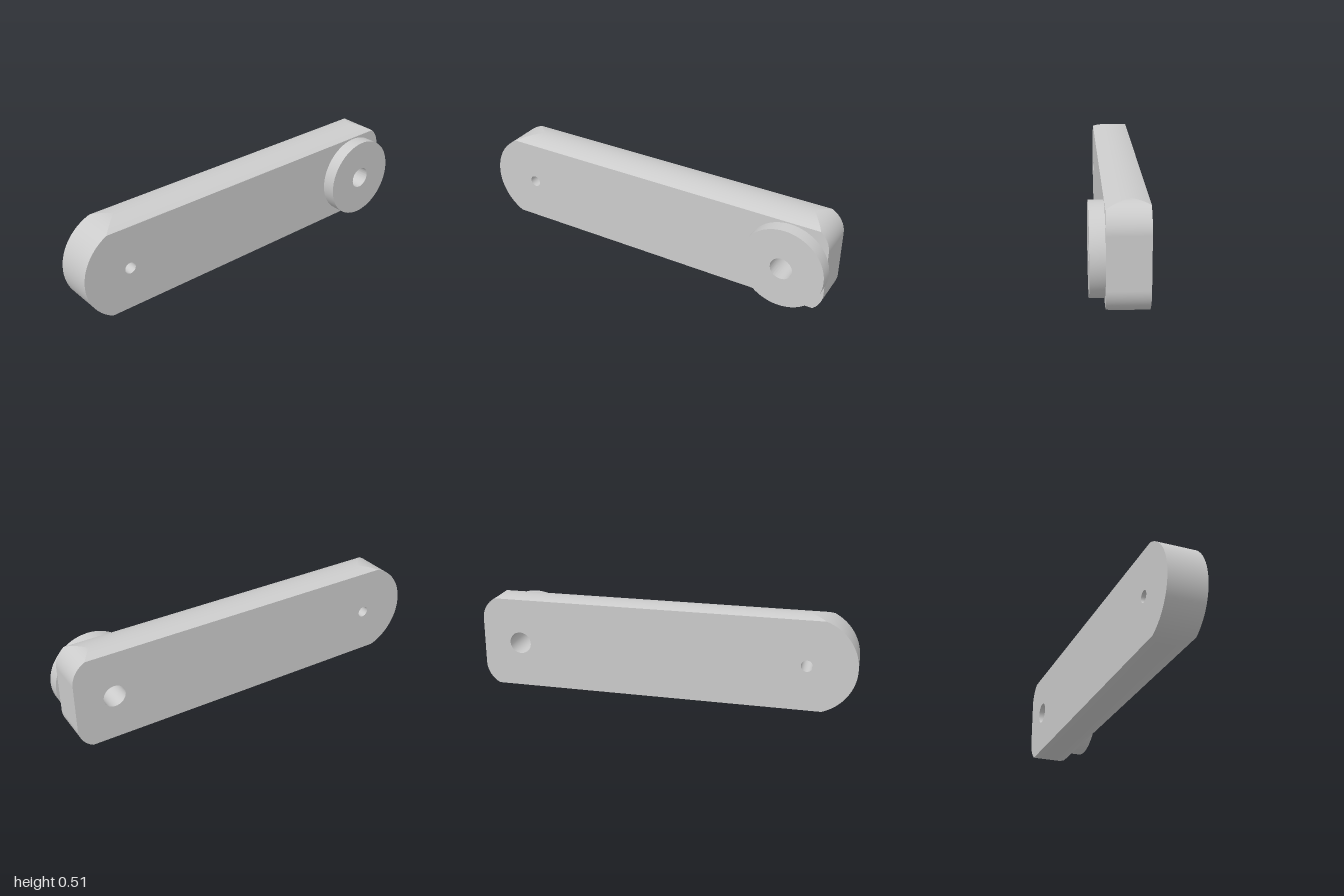
import * as THREE from 'three';
import { toCreasedNormals } from 'three/addons/utils/BufferGeometryUtils.js';
import { ParametricGeometry } from 'three/addons/geometries/ParametricGeometry.js';

const CY = 0.2545;                    // height of the long axis
const Z0 = -0.133, Z1 = 0.065, Z2 = 0.135; // back, front, boss face
const H = 0.254;                      // half height at the crown
const LEFT = -1 + H, RIGHT = 0.985;   // centre of round end, square end
const CORNER = 0.13;
const BOSS = { x: 0.781, r: 0.2185, hole: 0.058 };
const PIN = { x: -0.746, hole: 0.03 };
const SEG = 48;

// half height of the arm at depth z (crowned long edges)
const half = (z) => H - 0.248 + Math.sqrt(0.248 ** 2 - (z + 0.05) ** 2);
const endAngle = (z) => Math.asin(Math.min(1, half(z) / H));
const cornerAngle = (z) => Math.asin(Math.min(1, (half(z) - H + CORNER) / CORNER));

// outline sections, counterclockwise seen from the front: (u, z) -> [x, y]
const roundEnd = (u, z) => {
  const a = endAngle(z) * (1 - 2 * u);
  return [LEFT - H * Math.cos(a), H * Math.sin(a)];
};
const squareEnd = (u, z) => {
  const s = 2 * u - 1, k = Math.abs(s), c = H - CORNER;
  if (k <= 1 / 3) return [RIGHT, 3 * s * c];
  const a = (k - 1 / 3) * 1.5 * cornerAngle(z);
  return [RIGHT - CORNER * (1 - Math.cos(a)), Math.sign(s) * (c + CORNER * Math.sin(a))];
};
const edge = (from, to) => (u, z) => {
  const a = from(1, z), b = to(0, z);
  return [a[0] + (b[0] - a[0]) * u, a[1] + (b[1] - a[1]) * u];
};
const sections = {
  roundEnd,
  bottomEdge: edge(roundEnd, squareEnd),
  squareEnd,
  topEdge: edge(squareEnd, roundEnd),
};

const circle = (x, y, r) => new THREE.Path().absarc(x, y, r, 0, Math.PI * 2, true);

// flat face of the arm at depth z, with both holes; dir = 1 front, -1 back
function faceGeometry(z, dir) {
  const pts = [];
  for (const end of [roundEnd, squareEnd]) {
    for (let i = 0; i <= SEG; i++) {
      const [x, y] = end(i / SEG, z);
      pts.push(new THREE.Vector2(dir * x, y + CY));
    }
  }
  const shape = new THREE.Shape(pts);
  shape.holes.push(circle(dir * PIN.x, CY, PIN.hole), circle(dir * BOSS.x, CY, BOSS.hole));
  const geo = new THREE.ShapeGeometry(shape, 32);
  if (dir < 0) geo.rotateY(Math.PI);
  return geo.translate(0, 0, z);
}

export function createModel() {
  const model = new THREE.Group();
  const arm = new THREE.Group();
  arm.name = 'arm';
  model.add(arm);
  const grey = new THREE.MeshStandardMaterial({ color: 0xcccccc });
  const inside = new THREE.MeshStandardMaterial({ color: 0xcccccc, side: THREE.DoubleSide });
  const add = (parent, name, geo, mat = grey) => {
    const mesh = new THREE.Mesh(geo, mat);
    mesh.name = name;
    parent.add(mesh);
  };

  // rim of the arm
  for (const [name, section] of Object.entries(sections)) {
    const surface = (u, v, target) => {
      const z = Z0 + (Z1 - Z0) * v;
      const [x, y] = section(u, z);
      target.set(x, y + CY, z);
    };
    add(arm, name, new ParametricGeometry(surface, SEG, 32));
  }

  // flat faces
  add(arm, 'frontFace', faceGeometry(Z1, 1));
  add(arm, 'backFace', faceGeometry(Z0, -1));

  // hole walls
  for (const [name, part] of [['pinBore', PIN], ['bossBore', BOSS]]) {
    const bore = new THREE.CylinderGeometry(part.hole, part.hole, Z1 - Z0, 64, 1, true);
    bore.rotateX(Math.PI / 2).translate(part.x, CY, (Z0 + Z1) / 2);
    add(arm, name, bore, inside);
  }

  // round boss with its through hole
  const disc = new THREE.Shape().absarc(0, 0, BOSS.r, 0, Math.PI * 2, false);
  disc.holes.push(circle(0, 0, BOSS.hole));
  const boss = new THREE.ExtrudeGeometry(disc, { depth: Z2 - Z1, bevelEnabled: false, curveSegments: 32 });
  boss.translate(BOSS.x, CY, Z1);
  add(model, 'boss', toCreasedNormals(boss, 0.6));

  return model;
}
